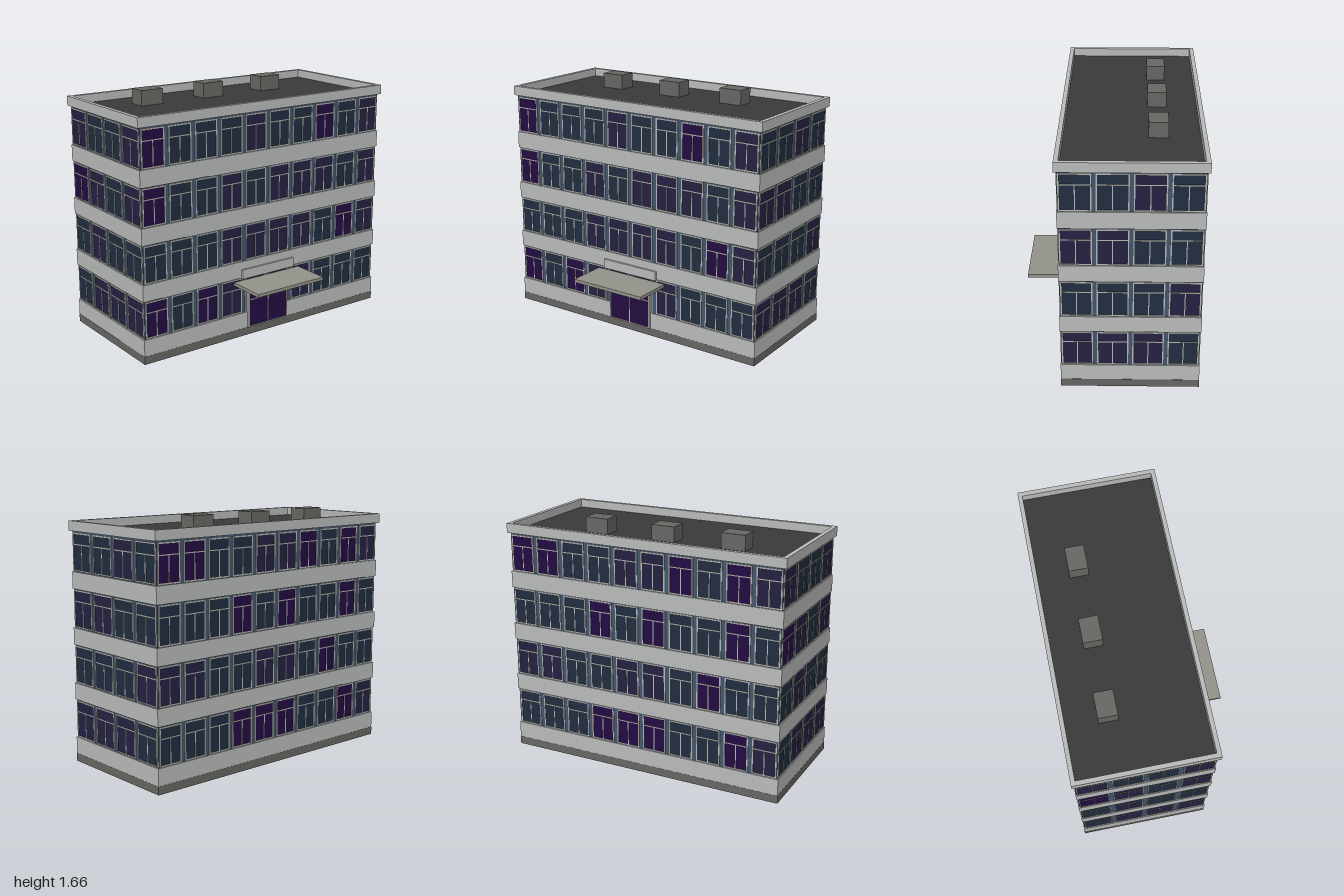
import * as THREE from 'three';

const mat = (name, color, side = THREE.FrontSide) => {
  const m = new THREE.MeshStandardMaterial({ color, side });
  m.name = name;
  return m;
};

export function createModel() {
  const M = {
    panel: mat('pale concrete', 0xbabcbb),
    frame: mat('window frame', 0xb9b9b0),
    wall: mat('slate wall', 0x42566e),
    base: mat('dark concrete', 0x686764),
    roof: mat('roof felt', 0x3a3a3a),
    canopy: mat('canopy concrete', 0x94938a),
    T: mat('blue glass', 0x212d40),
    I: mat('indigo glass', 0x252142),
    P: mat('purple glass', 0x230c42),
  };
  const model = new THREE.Group();
  model.name = 'officeBlock';
  const CZ = -0.128; // centre of the building in z

  const add = (parent, name, geometry, material, x = 0, y = 0, z = 0) => {
    const mesh = new THREE.Mesh(geometry, material);
    mesh.name = name;
    mesh.position.set(x, y, z);
    parent.add(mesh);
    return mesh;
  };
  // Box given by its limits
  const box = (name, material, x0, x1, y0, y1, z0, z1) =>
    add(model, name, new THREE.BoxGeometry(x1 - x0, y1 - y0, z1 - z0), material,
      (x0 + x1) / 2, (y0 + y1) / 2, (z0 + z1) / 2);

  const rect = (T, x0, y0, x1, y1) => {
    const s = new T();
    s.moveTo(x0, y0);
    s.lineTo(x1, y0);
    s.lineTo(x1, y1);
    s.lineTo(x0, y1);
    s.closePath();
    return s;
  };
  // Frame with a transom light above two tall panes, origin at bottom centre
  const frameGeometry = (w, h, bar, depth) => {
    const s = rect(THREE.Shape, -w / 2, 0, w / 2, h);
    const ty = h * 0.7, a = w / 2 - bar, b = bar * 0.4;
    s.holes.push(
      rect(THREE.Path, -a, bar, -b, ty - b),
      rect(THREE.Path, b, bar, a, ty - b),
      rect(THREE.Path, -a, ty + b, a, h - bar));
    return new THREE.ExtrudeGeometry(s, { depth, bevelEnabled: false });
  };
  const glassGeometry = (w, h) =>
    new THREE.PlaneGeometry(w - 0.006, h - 0.006).translate(0, h / 2, 0);

  // Core, plinth and floor bands
  box('wallCore', M.wall, -0.98, 0.98, 0.03, 1.557, CZ - 0.441, CZ + 0.441);
  box('plinth', M.base, -0.989, 0.989, 0, 0.055, CZ - 0.449, CZ + 0.449);
  for (let i = 0; i < 4; i++) {
    const y = 0.055 + i * 0.373;
    box('floorBand', M.panel, -0.988, 0.988, y, y + 0.113, CZ - 0.448, CZ + 0.448);
  }

  // Parapet ring around a sunken roof
  const ring = rect(THREE.Shape, -1, -0.459, 1, 0.459);
  ring.holes.push(rect(THREE.Path, -0.97, -0.43, 0.97, 0.43));
  const parapet = new THREE.ExtrudeGeometry(ring, { depth: 0.065, bevelEnabled: false });
  add(model, 'parapet', parapet.rotateX(-Math.PI / 2), M.panel, 0, 1.553, CZ);
  box('roofDeck', M.roof, -0.975, 0.975, 1.55, 1.562, CZ - 0.435, CZ + 0.435);
  for (const x of [-0.552, -0.058, 0.437])
    box('roofVent', M.base, x - 0.083, x + 0.083, 1.56, 1.665, -0.356, -0.231);

  // Windows: each facade lists its rows from the top, seen from outside
  const facades = [
    { name: 'frontWindows', turn: 0, dist: 0.441, pitch: 0.1975, w: 0.168,
      rows: ['PTTTITTPTI', 'PTTITIIITI', 'TTTIIIITPI', 'PTPIIIITTT'] },
    { name: 'rightWindows', turn: Math.PI / 2, dist: 0.98, pitch: 0.225, w: 0.2,
      rows: ['TTIT', 'IITT', 'TTTI', 'IIIT'] },
    { name: 'backWindows', turn: Math.PI, dist: 0.441, pitch: 0.1975, w: 0.168,
      rows: ['PPTTIIPTPI', 'TTTPTPTTPT', 'IITTIITPTT', 'TTTPPPTTPI'] },
    { name: 'leftWindows', turn: -Math.PI / 2, dist: 0.98, pitch: 0.225, w: 0.2,
      rows: ['ITTI', 'PITI', 'TITT', 'TIII'] },
  ];
  const H = 0.25;
  for (const f of facades) {
    const g = new THREE.Group();
    g.name = f.name;
    g.position.z = CZ;
    g.rotation.y = f.turn;
    model.add(g);
    const frame = frameGeometry(f.w, H, 0.008, 0.005);
    const glass = glassGeometry(f.w, H);
    f.rows.forEach((row, r) => [...row].forEach((c, i) => {
      const x = (i - (row.length - 1) / 2) * f.pitch;
      const y = 0.172 + (3 - r) * 0.373;
      add(g, 'windowGlass', glass, M[c], x, y, f.dist + 0.002);
      add(g, 'windowFrame', frame, M.frame, x, y, f.dist);
    }));
  }

  // Entrance: door, canopy and blank panel above it
  box('doorBacking', M.frame, -0.168, 0.168, 0.056, 0.344, 0.31, 0.328);
  add(model, 'doorGlass', glassGeometry(0.336, 0.288), M.P, 0, 0.056, 0.331);
  add(model, 'doorFrame', frameGeometry(0.336, 0.288, 0.008, 0.008), M.frame, 0, 0.056, 0.327);
  box('canopy', M.canopy, -0.277, 0.277, 0.38, 0.403, 0.31, 0.586);
  box('entrancePanel', M.panel, -0.218, 0.218, 0.42, 0.485, 0.31, 0.335);
  return model;
}
